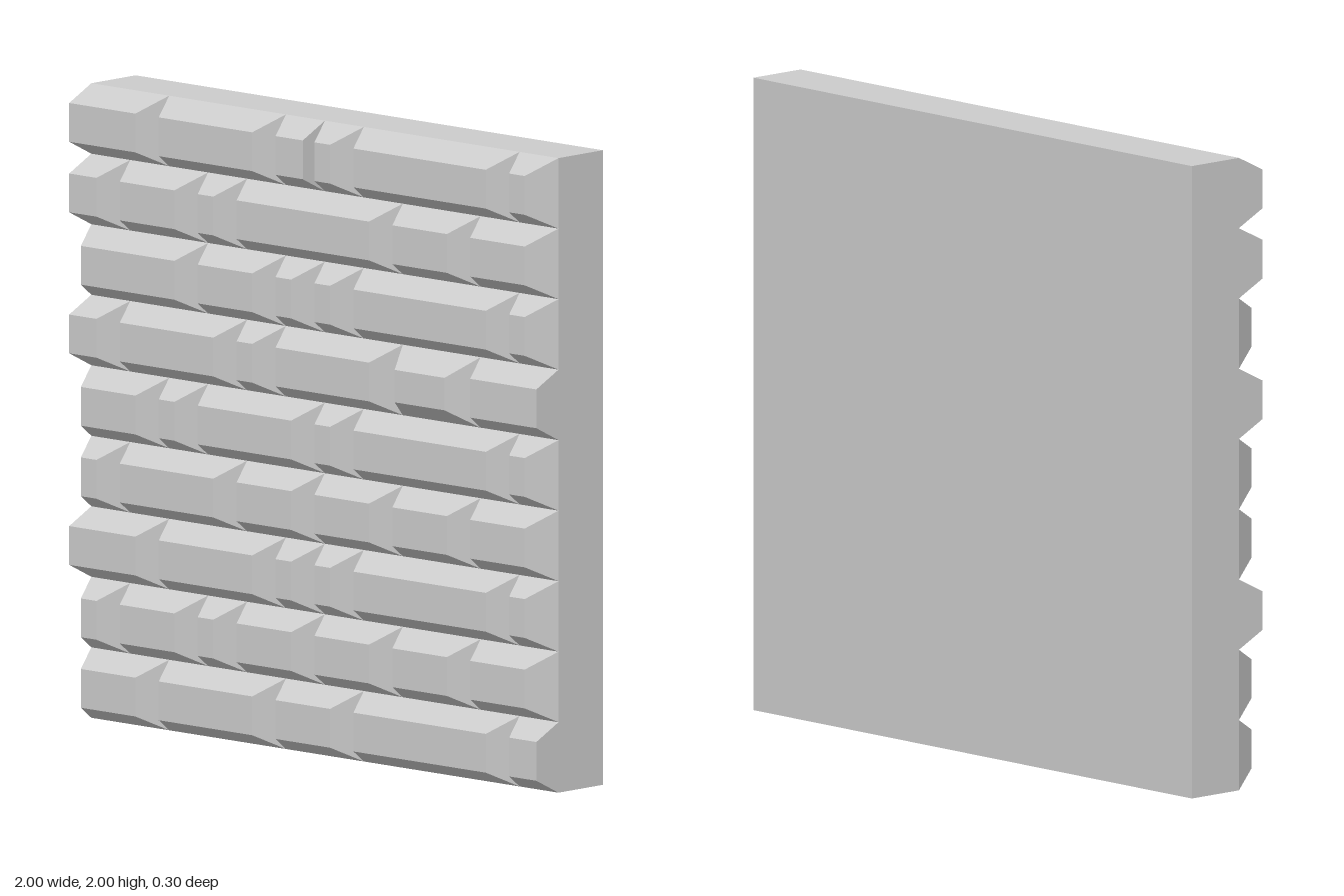
import * as THREE from 'three';

const ROWS = 9, ROW_H = 2 / ROWS, BEVEL = 0.05;
const SLAB_BACK = -0.15, SLAB_FRONT = 0.05, BRICK_FRONT = 0.15;

// Brick courses from bottom to top: joints in sixths of a unit,
// flat = x positions (in sixths) where the brick to the left/right has no bevel
const courses = [
  { joints: [-6, -4, -1, 1, 5, 6], flatRight: [6] },
  { joints: [-6, -5, -3, -2, 0, 2, 4, 6] },
  { joints: [-6, -4, -1, 0, 1, 5, 6], flatLeft: [-6] },
  { joints: [-6, -5, -2, 0, 2, 4, 6] },
  { joints: [-6, -4, -3, 0, 1, 5, 6] },
  { joints: [-6, -5, -2, -1, 2, 4, 6], flatLeft: [-6], flatRight: [6], steep: 2 },
  { joints: [-6, -3, -1, 0, 1, 5, 6] },
  { joints: [-6, -5, -3, -2, 2, 4, 6], flatLeft: [-6] },
  { joints: [-6, -4, -1, 0, 1, 5, 6], flatLeft: [-6], flatRight: [0] },
];

// Box whose front face is drawn in on each side to form the bevels
function brickGeometry(x0, x1, y0, y1, left, right, bevel) {
  const depth = BRICK_FRONT - SLAB_FRONT;
  const geo = new THREE.BoxGeometry(x1 - x0, y1 - y0, depth);
  geo.translate((x0 + x1) / 2, (y0 + y1) / 2, SLAB_FRONT + depth / 2);
  const p = geo.attributes.position;
  const midX = (x0 + x1) / 2, midY = (y0 + y1) / 2, midZ = SLAB_FRONT + depth / 2;
  for (let i = 0; i < p.count; i++) {
    if (p.getZ(i) < midZ) continue;
    p.setX(i, p.getX(i) < midX ? x0 + left : x1 - right);
    p.setY(i, p.getY(i) < midY ? y0 + bevel : y1 - bevel);
  }
  geo.computeVertexNormals();
  return geo;
}

export function createModel() {
  const wall = new THREE.Group();
  wall.name = 'brickWall';
  const material = new THREE.MeshStandardMaterial({ color: 0xcccccc, flatShading: true });

  // Backing slab
  const slab = new THREE.Mesh(new THREE.BoxGeometry(2, 2, SLAB_FRONT - SLAB_BACK), material);
  slab.position.set(0, 1, (SLAB_FRONT + SLAB_BACK) / 2);
  slab.name = 'backingSlab';
  wall.add(slab);

  // Courses of bevelled bricks
  courses.forEach(({ joints, flatLeft = [], flatRight = [], steep }, row) => {
    const course = new THREE.Group();
    course.name = `brickCourse${row + 1}`;
    for (let i = 0; i < joints.length - 1; i++) {
      const a = joints[i], b = joints[i + 1];
      const bevel = a === steep ? 0.06 : BEVEL; // one brick has a wider bevel
      const geo = brickGeometry(
        a / 6, b / 6, row * ROW_H, (row + 1) * ROW_H,
        flatLeft.includes(a) ? 0 : bevel,
        flatRight.includes(b) ? 0 : bevel,
        bevel,
      );
      const brick = new THREE.Mesh(geo, material);
      brick.name = 'brick';
      course.add(brick);
    }
    wall.add(course);
  });
  return wall;
}
